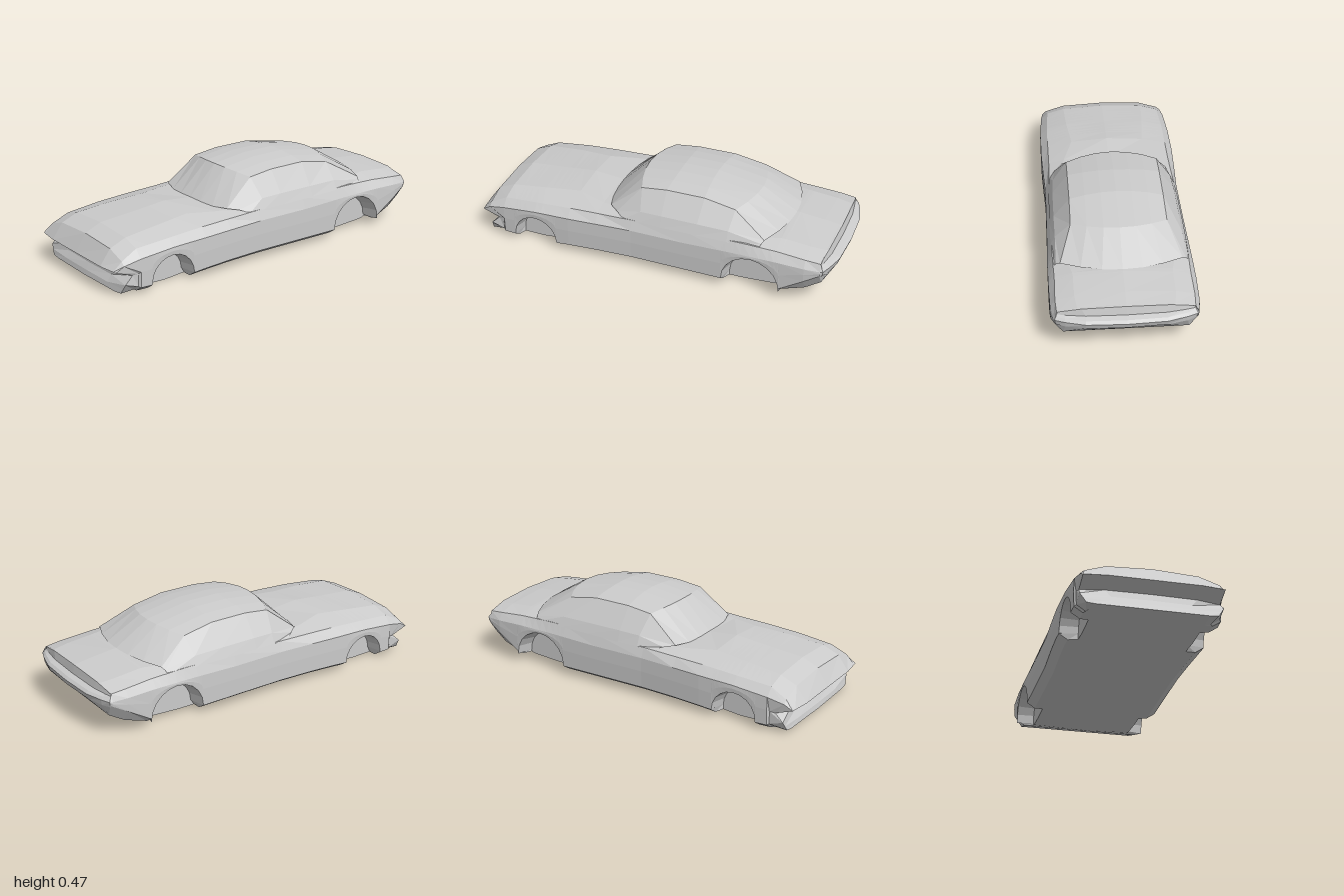
import * as THREE from 'three';

const material = new THREE.MeshStandardMaterial({ color: 0xcccccc, flatShading: true, side: THREE.DoubleSide });

// Mirror a half row (ordered outward from x = 0) into a full row
const mirror = half => [...half.slice(1).reverse().map(([x, y, z]) => [-x, y, z]), ...half];

// Skin a list of equally long point rows
function skin(name, rows) {
  const n = rows[0].length, index = [];
  for (let i = 0; i < rows.length - 1; i++) {
    for (let j = 0; j < n - 1; j++) {
      const a = i * n + j, b = a + n;
      index.push(a, a + 1, b, a + 1, b + 1, b);
    }
  }
  const geo = new THREE.BufferGeometry();
  geo.setAttribute('position', new THREE.Float32BufferAttribute(rows.flat(2), 3));
  geo.setIndex(index);
  const flat = geo.toNonIndexed();
  flat.computeVertexNormals();
  const mesh = new THREE.Mesh(flat, material);
  mesh.name = name;
  return mesh;
}

// z, floor y, widest x, belt y, shoulder x and y, deck edge x and y, deck centre y
const sections = [
  [0.94, 0.01, 0.355, 0.165, 0.335, 0.185, 0.23, 0.22, 0.232],
  [0.85, 0.005, 0.365, 0.185, 0.325, 0.228, 0.23, 0.257, 0.27],
  [0.65, 0.0, 0.373, 0.205, 0.335, 0.245, 0.22, 0.276, 0.285],
  [0.46, 0.015, 0.375, 0.21, 0.335, 0.255, 0.2, 0.288, 0.303],
  [0.30, 0.02, 0.37, 0.213, 0.335, 0.26, 0.25, 0.28, 0.287],
  [0.10, 0.02, 0.362, 0.215, 0.34, 0.268, 0.27, 0.28, 0.28],
  [-0.20, 0.02, 0.366, 0.215, 0.345, 0.275, 0.3, 0.285, 0.285],
  [-0.50, 0.02, 0.371, 0.225, 0.347, 0.28, 0.3, 0.292, 0.3],
  [-0.70, 0.03, 0.373, 0.226, 0.342, 0.272, 0.25, 0.297, 0.312],
  [-0.85, 0.08, 0.37, 0.22, 0.345, 0.26, 0.25, 0.283, 0.296],
  [-0.93, 0.125, 0.357, 0.215, 0.34, 0.252, 0.24, 0.274, 0.284],
];
const arches = [{ z: 0.66, y: 0.04, r: 0.125 }, { z: -0.565, y: 0.05, r: 0.157 }];

function sectionAt(z) {
  let i = 0;
  while (i < sections.length - 2 && z < sections[i + 1][0]) i++;
  const a = sections[i], b = sections[i + 1], t = (z - a[0]) / (b[0] - a[0]);
  return a.map((v, k) => v + (b[k] - v) * t);
}

// Half cross-section of the body; inside an arch the sill rises and forms a wheel well
function bodyHalf(z, arch) {
  const [, floor, xw, yb, xs, ys, xh, yh, yc] = sectionAt(z);
  let sill = floor + (z < -0.75 ? 0.065 : 0.03);
  let inner = [xw - 0.045, floor, z], zIn = z;
  if (arch) {
    const rise = Math.sqrt(Math.max(0, arch.r ** 2 - (z - arch.z) ** 2));
    sill = arch.y + rise;
    zIn = arch.z + (z - arch.z) * 0.87;
    inner = [0.28, arch.y + rise * 0.87, zIn];
  }
  const half = [
    [0, floor, z], [0.28, floor, zIn], inner, [xw, sill, z],
    [xw + 0.002, sill + (yb - sill) * 0.55, z], [xw, yb, z],
    [xs, ys, z], [xh, yh, z], [0, yc, z],
  ];
  // The lower flank stops short of the nose to leave the side notch
  if (z === 0.94) for (const k of [2, 3, 4]) half[k][2] = 0.86;
  return half;
}

function buildBody() {
  const stations = [];
  for (const [z] of sections) {
    if (!arches.some(a => Math.abs(z - a.z) <= a.r)) stations.push([z, null]);
  }
  for (const a of arches) {
    stations.push([a.z + a.r + 0.001, null], [a.z - a.r - 0.001, null]);
    for (let i = 0; i <= 10; i++) stations.push([a.z + a.r * Math.cos(i * Math.PI / 10), a]);
  }
  stations.sort((p, q) => q[0] - p[0]);

  const nose = [
    [0, 0.008, 0.952], [0.28, 0.01, 0.948], [0.325, 0.015, 0.945], [0.355, 0.065, 0.935],
    [0.35, 0.105, 0.89], [0.35, 0.14, 0.985], [0.33, 0.14, 0.988], [0.23, 0.14, 1], [0, 0.14, 1],
  ];
  const tail = [
    [0, 0.185, -0.99], [0.2, 0.185, -0.982], [0.3, 0.185, -0.96], [0.345, 0.185, -0.94],
    [0.35, 0.2, -0.943], [0.352, 0.215, -0.945], [0.335, 0.25, -0.925], [0.22, 0.275, -0.94], [0, 0.282, -0.945],
  ];
  return skin('body', [nose, ...stations.map(s => bodyHalf(...s)), tail].map(mirror));
}

// Front panel: overhanging nose, recessed grille and lower lip
function buildFrontPanel() {
  const rows = [
    [[0, 0.14, 1], [0.23, 0.14, 1], [0.35, 0.14, 0.985]],
    [[0, 0.105, 0.92], [0.23, 0.105, 0.915], [0.35, 0.105, 0.89]],
    [[0, 0.07, 0.925], [0.2, 0.07, 0.92], [0.355, 0.065, 0.935]],
    [[0, 0.035, 0.945], [0.2, 0.035, 0.943], [0.34, 0.04, 0.94]],
    [[0, 0.008, 0.952], [0.28, 0.01, 0.948], [0.325, 0.015, 0.945]],
  ];
  return skin('frontPanel', rows.map(mirror));
}

// Rear panel: curved bumper and the recessed band above it
function buildRearPanel() {
  const rows = [
    [[0, 0.185, -0.99], [0.2, 0.185, -0.982], [0.3, 0.185, -0.96], [0.345, 0.185, -0.94]],
    [[0, 0.215, -1], [0.2, 0.215, -0.992], [0.3, 0.215, -0.965], [0.352, 0.215, -0.945]],
    [[0, 0.228, -0.985], [0.2, 0.228, -0.978], [0.3, 0.228, -0.952], [0.346, 0.228, -0.935]],
    [[0, 0.236, -0.955], [0.2, 0.236, -0.95], [0.3, 0.236, -0.935], [0.34, 0.238, -0.928]],
    [[0, 0.282, -0.945], [0.22, 0.275, -0.94], [0.3, 0.258, -0.93], [0.335, 0.25, -0.925]],
  ];
  return skin('rearPanel', rows.map(mirror));
}

// Cabin: centre [y, z], roof edge [x, y, z], side bulge and side base per row
function cabinRow([yc, zc], edge, bulge, base) {
  const mid = t => [edge[0] * t, yc + (edge[1] - yc) * t * t, zc + (edge[2] - zc) * t * t];
  return mirror([mid(0), mid(0.33), mid(0.67), edge, bulge, base]);
}

function buildCabin() {
  const rows = [
    [[0.278, 0.30], [0.267, 0.287, 0.25], [0.305, 0.28, 0.2], [0.338, 0.262, 0.15]],
    [[0.442, 0.13], [0.245, 0.42, 0.08], [0.32, 0.318, 0.06], [0.343, 0.265, 0.06]],
    [[0.467, -0.07], [0.245, 0.436, -0.06], [0.326, 0.322, -0.06], [0.348, 0.265, -0.06]],
    [[0.467, -0.26], [0.245, 0.436, -0.27], [0.328, 0.322, -0.26], [0.35, 0.268, -0.26]],
    [[0.425, -0.51], [0.247, 0.405, -0.44], [0.328, 0.32, -0.43], [0.351, 0.27, -0.43]],
    [[0.31, -0.70], [0.31, 0.3, -0.62], [0.33, 0.288, -0.61], [0.35, 0.265, -0.6]],
  ];
  return skin('cabin', rows.map(r => cabinRow(...r)));
}

export function createModel() {
  const car = new THREE.Group();
  car.name = 'carShell';
  car.add(buildBody(), buildFrontPanel(), buildRearPanel(), buildCabin());
  return car;
}
